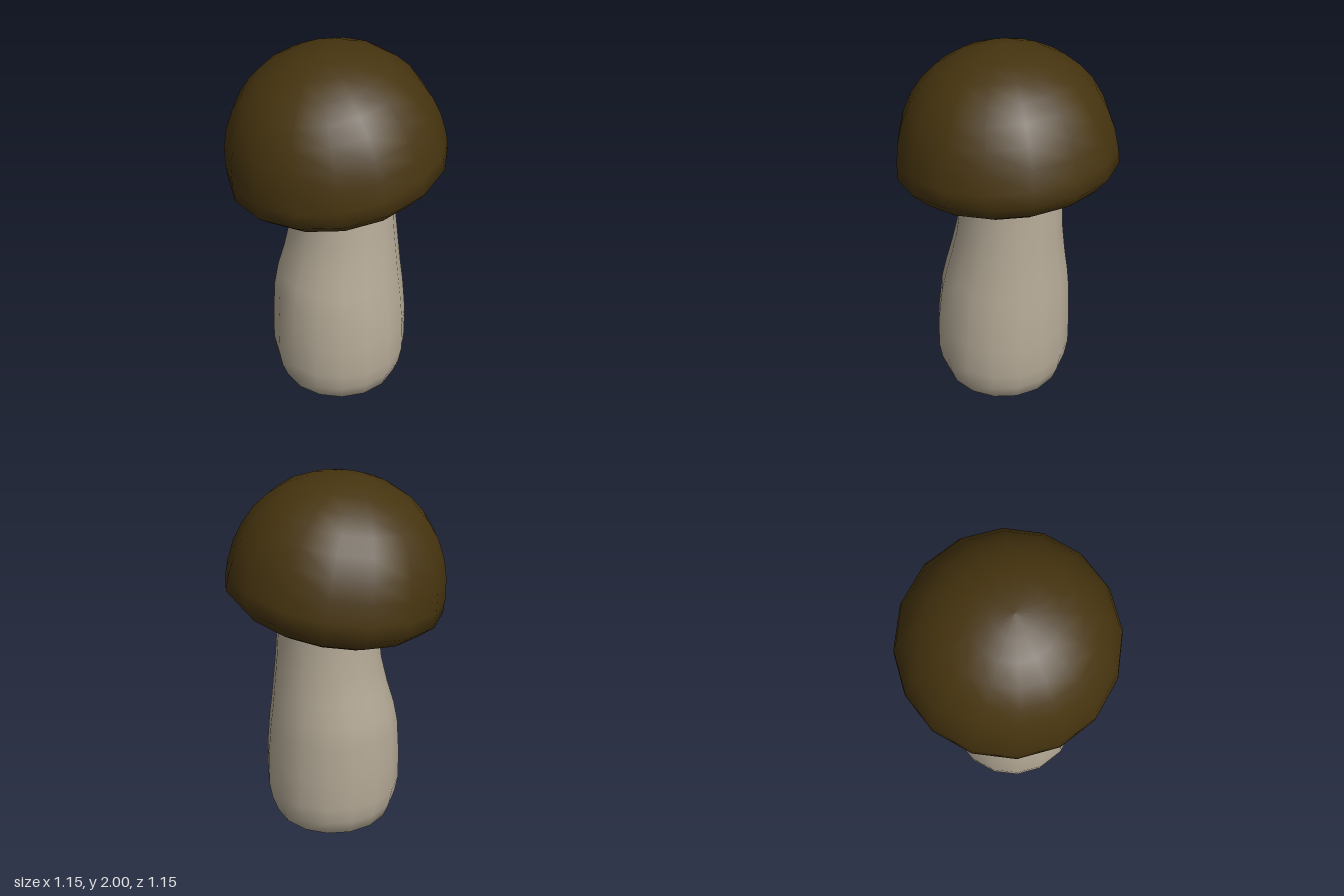
import * as THREE from 'three';

const SIDES = 16;

// Skin rings of [y, centreX, centreZ, radius, slopeX] from bottom to top
function loft(rings, closeBottom) {
  const pos = [], idx = [];
  for (const [y, cx, cz, r, slope = 0] of rings) {
    for (let i = 0; i < SIDES; i++) {
      const a = (i / SIDES) * Math.PI * 2;
      const x = cx + Math.sin(a) * r;
      pos.push(x, y + slope * x, cz + Math.cos(a) * r);
    }
  }
  for (let j = 0; j < rings.length - 1; j++) {
    for (let i = 0; i < SIDES; i++) {
      const k = (i + 1) % SIDES;
      const a = j * SIDES + i, b = j * SIDES + k;
      idx.push(a, b, b + SIDES, a, b + SIDES, a + SIDES);
    }
  }
  if (closeBottom) {
    const c = pos.length / 3;
    pos.push(rings[0][1], 0, rings[0][2]);
    for (let i = 0; i < SIDES; i++) idx.push(c, (i + 1) % SIDES, i);
  }
  const g = new THREE.BufferGeometry();
  g.setAttribute('position', new THREE.Float32BufferAttribute(pos, 3));
  g.setIndex(idx);
  g.computeVertexNormals();
  return g;
}

export function createModel() {
  const capBrown = new THREE.MeshStandardMaterial({ color: 0x46340f });
  const collarBrown = new THREE.MeshStandardMaterial({ color: 0x5c3d10 });
  const stemCream = new THREE.MeshStandardMaterial({ color: 0xb5aa97 });
  capBrown.name = 'capBrown';
  collarBrown.name = 'collarBrown';
  stemCream.name = 'stemCream';

  const model = new THREE.Group();
  model.name = 'mushroom';
  const add = (name, geometry, material) => {
    const mesh = new THREE.Mesh(geometry, material);
    mesh.name = name;
    model.add(mesh);
    return mesh;
  };

  // Swollen, slightly leaning stem with a slanted top edge
  const top = [1.2, 0.03, -0.01, 0.267, 0.17];
  add('stem', loft([
    [0.008, 0.01, 0.03, 0.27],
    [0.035, 0.01, 0.03, 0.325],
    [0.12, 0.01, 0.03, 0.355],
    [0.22, 0.01, 0.03, 0.372],
    [0.4, 0.01, 0.028, 0.37],
    [0.6, 0.007, 0.018, 0.355],
    [0.72, 0.01, 0.01, 0.336],
    [0.85, 0.022, 0.005, 0.31],
    [1.0, 0.031, -0.002, 0.285],
    top,
  ], true), stemCream);

  // Brown neck joining the stem to the cap
  add('collar', loft([top, [1.42, 0.02, -0.01, 0.255, 0.15]], false), collarBrown);

  // Domed cap, from the hollow underside out around the rim to the crown
  const profile = [
    [0.18, 0.0], [0.29, -0.03], [0.34, -0.09], [0.42, -0.118], [0.5, -0.075],
    [0.575, 0], [0.572, 0.08], [0.556, 0.19], [0.525, 0.29], [0.475, 0.39],
    [0.41, 0.47], [0.33, 0.54], [0.22, 0.597], [0.11, 0.63], [0, 0.64],
  ].map(([x, y]) => new THREE.Vector2(x, y));
  const cap = add('cap', new THREE.LatheGeometry(profile, SIDES), capBrown);
  cap.position.set(0, 1.362, 0);
  cap.rotation.set(0.035, 0, 0.148);

  return model;
}
